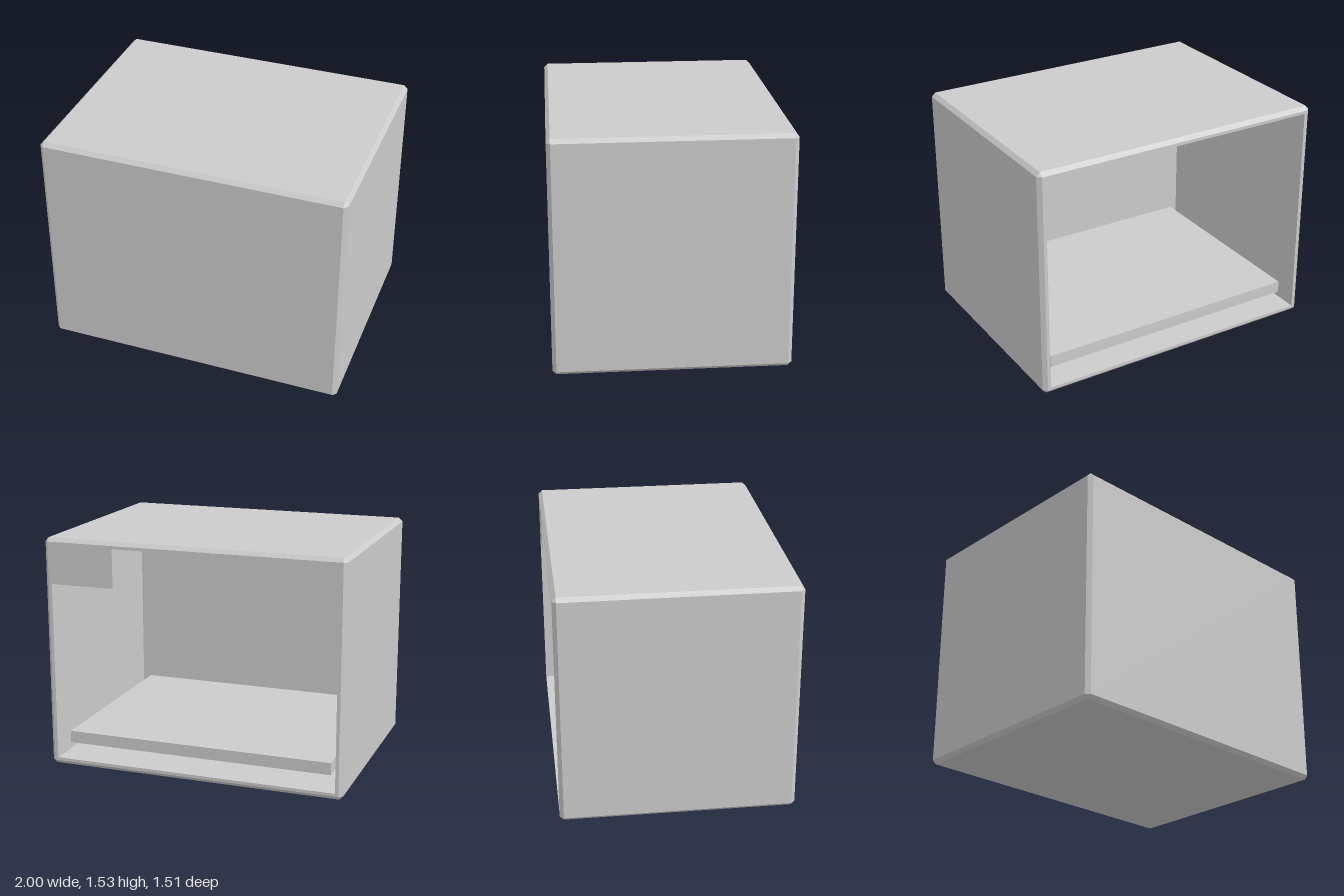
import * as THREE from 'three';

const H = 1.53, MID = H / 2;

// Rectangle with cut corners; half width w, half height h, corner cut c
function ring(w, h, c, z) {
  return [
    [w, -h + c], [w, h - c], [w - c, h], [-w + c, h],
    [-w, h - c], [-w, -h + c], [-w + c, -h], [w - c, -h],
  ].map(([x, y]) => new THREE.Vector3(x, y + MID, z));
}

// Flat-shaded skin through a row of rings
function loft(rings) {
  const pos = [];
  const tri = (a, b, c) => {
    if (new THREE.Triangle(a, b, c).getArea() > 1e-8) {
      for (const p of [a, b, c]) pos.push(p.x, p.y, p.z);
    }
  };
  for (let r = 0; r < rings.length - 1; r++) {
    const a = rings[r], b = rings[r + 1];
    for (let i = 0; i < 8; i++) {
      const j = (i + 1) % 8;
      tri(a[i], b[i], a[j]);
      tri(b[i], b[j], a[j]);
    }
  }
  const g = new THREE.BufferGeometry();
  g.setAttribute('position', new THREE.Float32BufferAttribute(pos, 3));
  g.computeVertexNormals();
  return g;
}

export function createModel() {
  const model = new THREE.Group();
  model.name = 'openBackCabinet';
  const material = new THREE.MeshStandardMaterial({ color: 0xcccccc, flatShading: true });
  const add = (name, geometry) => {
    const mesh = new THREE.Mesh(geometry, material);
    mesh.name = name;
    model.add(mesh);
    return mesh;
  };

  // Outer casing with chamfered edges, open at the back
  const c = 0.025, w = 1, h = MID, d = 0.755;
  add('casing', loft([
    ring(0, 0, 0, d),
    ring(w - c, h - c, 0, d),
    ring(w, h, c, d - c),
    ring(w, h, c, -d + c),
    ring(w - c, h - c, 0, -d),
  ]));

  // Cavity walls, floor, ceiling and inside of the front panel
  const lipZ = -0.69;
  add('cavityLining', loft([
    ring(0.97, MID - 0.03, 0, lipZ),
    ring(0.97, MID - 0.03, 0, 0.725),
    ring(0, 0, 0, 0.725),
  ]));

  // Back frame: narrow lip around the opening with a tab in one upper corner
  const frame = new THREE.Shape([
    [-w + c, c], [w - c, c], [w - c, H - c], [-w + c, H - c],
  ].map(([x, y]) => new THREE.Vector2(x, y)));
  const o = 0.953, bottom = 0.045, top = H - 0.045;
  frame.holes.push(new THREE.Path([
    [-o, bottom], [-o, top], [0.525, top], [0.525, 1.23], [o, 1.23], [o, bottom],
  ].map(([x, y]) => new THREE.Vector2(x, y))));
  const frameGeometry = new THREE.ExtrudeGeometry(frame, { depth: lipZ + d, bevelEnabled: false });
  add('backFrame', frameGeometry.translate(0, 0, -d));

  // Raised slab above the cavity floor
  add('innerShelf', new THREE.BoxGeometry(1.8, 0.08, 1.36)).position.set(0, 0.168, 0.015);

  return model;
}
